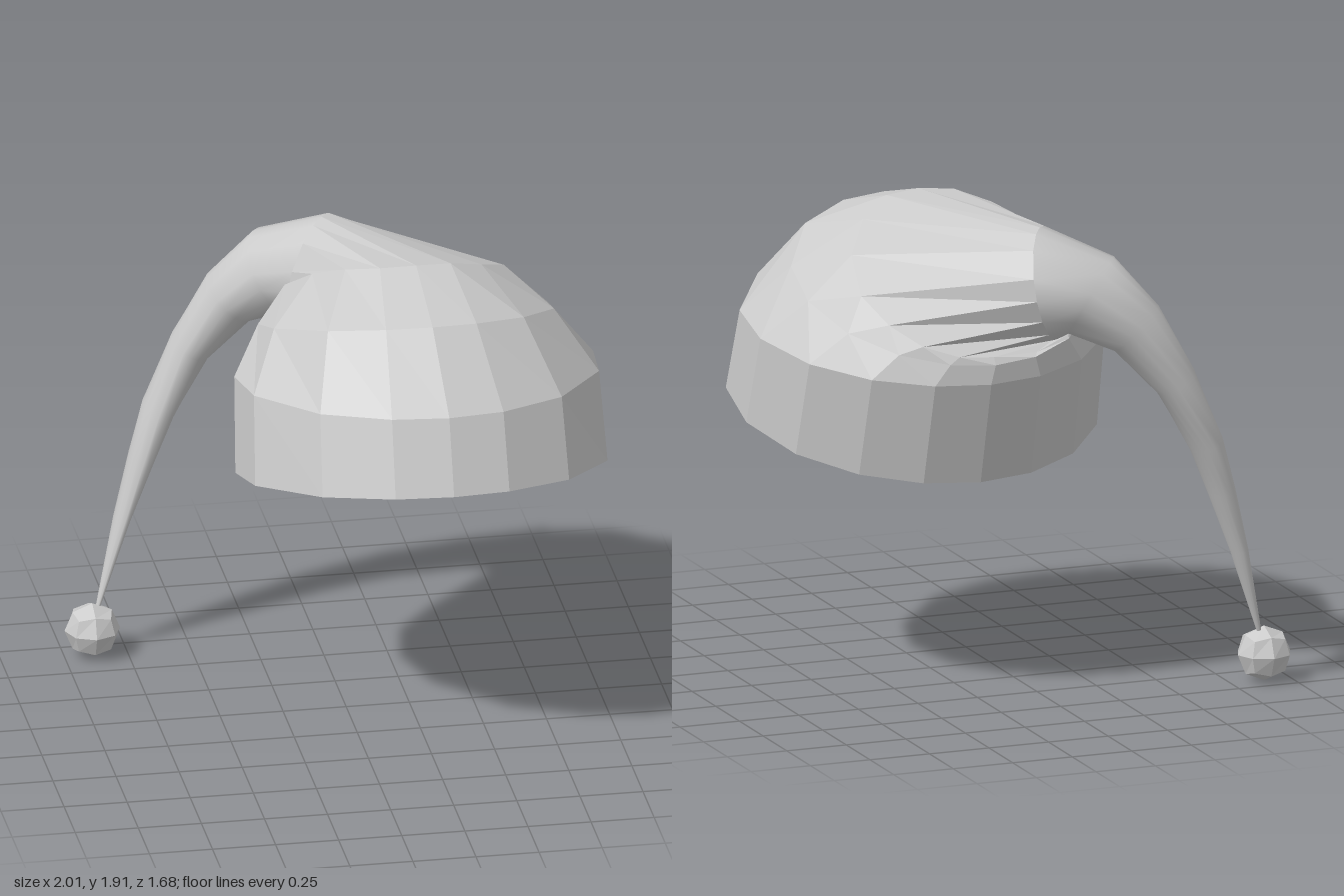
import * as THREE from 'three';

// Corner angles of every ring, mirrored left to right
const HALF = [72, 48, 17, -6, -30, -52, -72];
const ANGLES = [90, ...HALF.map((a) => 180 - a), 270, ...HALF.slice().reverse()]
  .map(THREE.MathUtils.degToRad);
const SIDES = ANGLES.length;

// Elliptical ring: centre, axis direction, half width, half depth
function ring(c, axis, rx, ry) {
  const t = new THREE.Vector3(...axis).normalize();
  const u = new THREE.Vector3(-t.z, 0, t.x).normalize();
  const v = u.clone().cross(t);
  return ANGLES.map((a) => new THREE.Vector3(...c)
    .addScaledVector(u, rx * Math.cos(a))
    .addScaledVector(v, ry * Math.sin(a))
    .toArray());
}

// Skin through a list of rings
function loft(name, rings, material) {
  const index = [];
  for (let r = 0; r < rings.length - 1; r++) {
    for (let i = 0; i < SIDES; i++) {
      const a = r * SIDES + i, b = r * SIDES + (i + 1) % SIDES;
      index.push(a, a + SIDES, b + SIDES, a, b + SIDES, b);
    }
  }
  const g = new THREE.BufferGeometry();
  g.setAttribute('position', new THREE.Float32BufferAttribute(rings.flat(2), 3));
  g.setIndex(index);
  g.computeVertexNormals();
  const mesh = new THREE.Mesh(g, material);
  mesh.name = name;
  return mesh;
}

export function createModel() {
  const group = new THREE.Group();
  group.name = 'nightcap';
  const flat = new THREE.MeshStandardMaterial({ color: 0xcccccc, flatShading: true });
  const smooth = new THREE.MeshStandardMaterial({ color: 0xcccccc });

  const tilt = [0, 1, -0.24];
  const brim = ring([0.28, 1.07, 0.115], tilt, 0.73, 0.745);
  const brimInner = ring([0.28, 1.07, 0.115], tilt, 0.68, 0.7);
  const wall = ring([0.28, 1.425, 0.005], [0, 1, -0.15], 0.715, 0.735);
  const shoulder = ring([0.26, 1.6, -0.125], [0, 1, -0.35], 0.58, 0.63);
  const neck = ring([-0.04, 1.65, -0.53], [-0.7, 0.15, -0.5], 0.22, 0.225);

  // Rim of the fold, pinched on the side where the tail lies: front, left half, back, right half
  const fold = [
    [0.26, 1.91, 0.1], [0.12, 1.9, 0.08], [0, 1.86, -0.02], [-0.1, 1.77, -0.2],
    [-0.18, 1.66, -0.36], [-0.18, 1.54, -0.48], [-0.1, 1.45, -0.58], [0.06, 1.41, -0.65],
    [0.26, 1.42, -0.7], [0.4, 1.43, -0.69], [0.53, 1.47, -0.63], [0.63, 1.54, -0.52],
    [0.69, 1.63, -0.38], [0.66, 1.75, -0.2], [0.54, 1.84, -0.02], [0.4, 1.9, 0.08],
  ];

  // Dome, folding over into the neck of the tail
  group.add(loft('crown', [brim, wall, shoulder, fold, neck], flat));

  // Brim edge and conical hollow inside
  group.add(loft('brimEdge', [brimInner, brim], flat));
  group.add(loft('lining', [
    ring([0.25, 1.68, -0.12], tilt, 0.001, 0.001),
    ring([0.25, 1.64, -0.1], tilt, 0.18, 0.2),
    brimInner,
  ], flat));

  // Drooping tail, flattened and tapering to a point
  group.add(loft('tail', [
    neck,
    ring([-0.18, 1.61, -0.62], [-0.7, -0.45, -0.4], 0.175, 0.175),
    ring([-0.34, 1.48, -0.69], [-0.65, -0.7, -0.25], 0.13, 0.125),
    ring([-0.49, 1.26, -0.735], [-0.5, -0.85, -0.1], 0.11, 0.085),
    ring([-0.615, 1.0, -0.74], [-0.4, -0.9, 0.04], 0.09, 0.065),
    ring([-0.685, 0.8, -0.725], [-0.35, -0.92, 0.06], 0.075, 0.048),
    ring([-0.765, 0.55, -0.71], [-0.32, -0.93, 0.09], 0.05, 0.028),
    ring([-0.87, 0.19, -0.665], [-0.3, -0.94, 0.09], 0.008, 0.008),
  ], smooth));

  // Faceted bobble: a subdivided cube pushed out to a ball
  const ball = new THREE.BoxGeometry(1, 1, 1, 2, 2, 2);
  const p = ball.attributes.position;
  const v = new THREE.Vector3();
  for (let i = 0; i < p.count; i++) {
    v.fromBufferAttribute(p, i).setLength(0.11);
    p.setXYZ(i, v.x, v.y, v.z);
  }
  const bobble = new THREE.Mesh(ball, flat);
  bobble.name = 'bobble';
  bobble.position.set(-0.89, 0.11, -0.66);
  group.add(bobble);

  return group;
}
